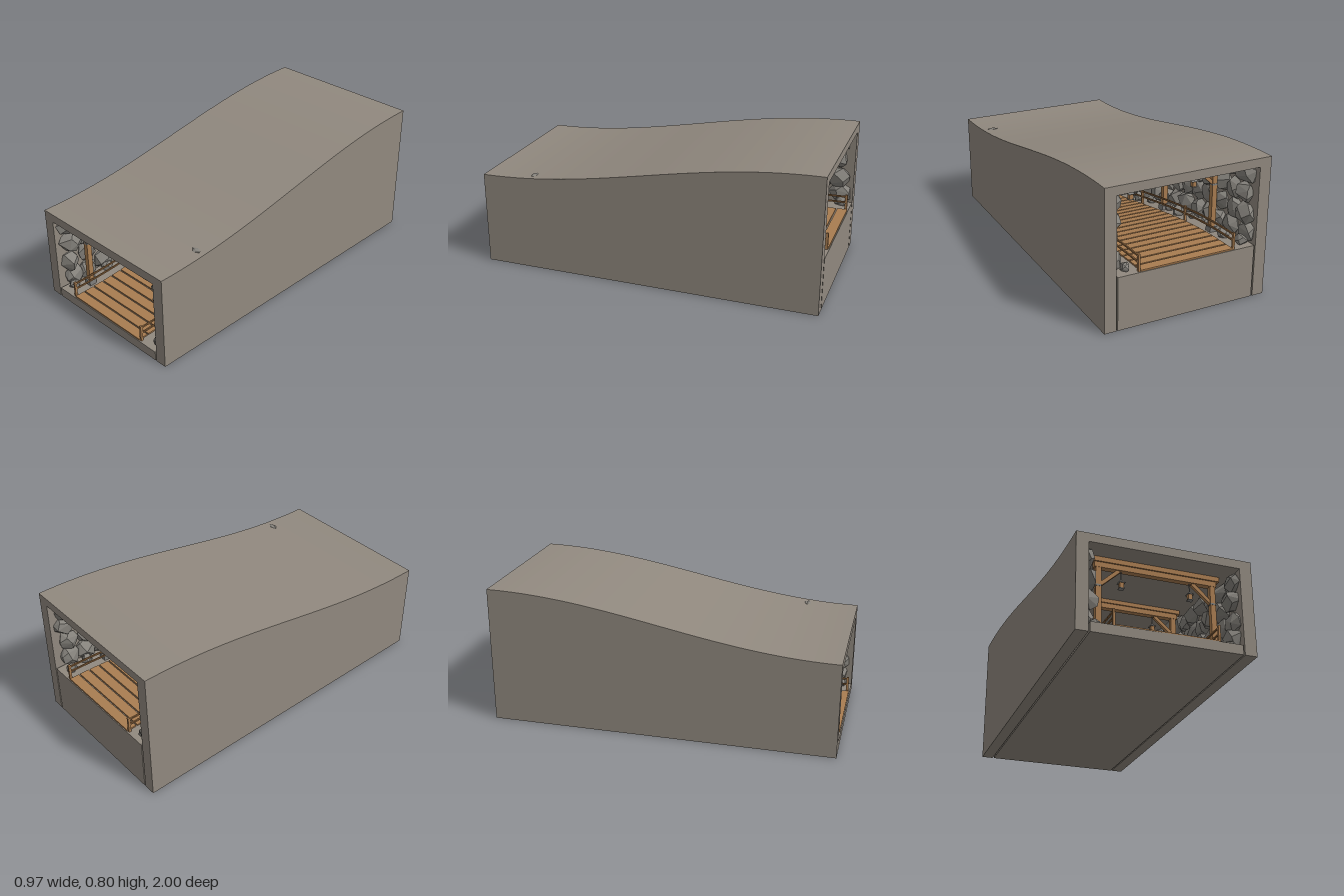
import * as THREE from 'three';
import { mergeGeometries } from 'three/addons/utils/BufferGeometryUtils.js';
import { ConvexGeometry } from 'three/addons/geometries/ConvexGeometry.js';

const mat = (name, color, flatShading = false) => {
  const m = new THREE.MeshStandardMaterial({ color, flatShading });
  m.name = name;
  return m;
};

// The whole passage climbs along this curve from front (z = 1) to back (z = -1)
const rise = z => 0.125 * (1 - Math.sin(z * Math.PI / 2));
const slope = z => -0.125 * Math.PI / 2 * Math.cos(z * Math.PI / 2);
const floorY = z => 0.055 + rise(z);

let seed = 7;
const rand = (a = 0, b = 1) => {
  seed = (seed * 16807) % 2147483647;
  return a + (b - a) * seed / 2147483647;
};

// Slab between two height curves, running the given length and spanning x0..x1
function slab(x0, x1, bottom, top, zEnd = 1) {
  const n = 40, pts = [];
  for (let i = 0; i <= n; i++) {
    const u = zEnd * (-1 + 2 * i / n);
    pts.push(new THREE.Vector2(u, bottom(-u)));
  }
  for (let i = n; i >= 0; i--) {
    const u = zEnd * (-1 + 2 * i / n);
    pts.push(new THREE.Vector2(u, top(-u)));
  }
  const g = new THREE.ExtrudeGeometry(new THREE.Shape(pts), { depth: x1 - x0, bevelEnabled: false });
  return g.rotateY(Math.PI / 2).translate(x0, 0, 0);
}

// Angular boulder: hull of jittered points around an ellipsoid
function rock(x, y, z, rx, ry, rz) {
  const pts = [], n = 15, spin = rand(0, 6.28);
  for (let i = 0; i < n; i++) {
    const h = 1 - 2 * (i + 0.5) / n, a = spin + i * 2.4 + rand(-0.4, 0.4);
    const k = rand(0.82, 1), r = Math.sqrt(1 - h * h);
    pts.push(new THREE.Vector3(x + rx * k * r * Math.cos(a), y + ry * k * h, z + rz * k * r * Math.sin(a)));
  }
  return new ConvexGeometry(pts);
}

export function createModel() {
  const stone = mat('stone', 0x91897f);
  const rockMat = mat('rock grey', 0x85827c, true);
  const wood = mat('wood', 0xa97d51);
  const darkWood = mat('rail wood', 0x8f673f);
  const metal = mat('metal', 0x807f7c);
  const model = new THREE.Group();
  const add = (parent, name, geo, material, x = 0, y = 0, z = 0) => {
    const m = new THREE.Mesh(geo, material);
    m.name = name;
    m.position.set(x, y, z);
    parent.add(m);
    return m;
  };
  const box = (w, h, d) => new THREE.BoxGeometry(w, h, d);

  // Shell: two side walls, roof and floor
  const roofTop = z => 0.55 + rise(z), ceiling = z => 0.5 + rise(z), ground = () => 0;
  add(model, 'rightWall', slab(-0.484, -0.416, ground, roofTop), stone);
  add(model, 'leftWall', slab(0.416, 0.484, ground, roofTop), stone);
  add(model, 'roof', slab(-0.416, 0.416, ceiling, roofTop), stone);
  add(model, 'floor', slab(-0.408, 0.408, ground, floorY), stone);

  // Rock lining on both walls, with rubble at the foot
  for (const side of [-1, 1]) {
    const rocks = [];
    for (let i = 0; i < 17; i++) {
      for (let j = 0; j < 4; j++) {
        const z = -0.91 + i * 0.114 + rand(-0.015, 0.015);
        const y = floorY(z) + 0.05 + j * 0.113 + rand(-0.012, 0.012);
        rocks.push(rock(side * 0.408, y, z, rand(0.045, 0.076), rand(0.065, 0.082), rand(0.065, 0.082)));
      }
      const z = -0.94 + i * 0.117, r = rand(0.022, 0.042);
      rocks.push(rock(side * rand(0.32, 0.37), floorY(z) + r * 0.5, z, r, r, r * 1.1));
    }
    add(model, side < 0 ? 'rightRocks' : 'leftRocks', mergeGeometries(rocks), rockMat);
  }
  // Loose chips breaking through the roof
  add(model, 'roofChip', rock(0.422, 0.556, 0.7, 0.038, 0.018, 0.028), rockMat);
  add(model, 'smallRoofChip', rock(0.414, 0.71, -0.26, 0.009, 0.016, 0.024), rockMat);

  // Plank deck
  const deck = new THREE.Group();
  deck.name = 'deck';
  model.add(deck);
  const plank = box(0.55, 0.009, 0.058), count = 30;
  for (let i = 0; i < count; i++) {
    const z = 0.966 - i * 1.932 / (count - 1);
    add(deck, 'plank', plank, wood, 0, floorY(z) + 0.004, z).rotation.x = -Math.atan(slope(z));
  }

  // Railings: posts with two rails following the slope
  for (const side of [-1, 1]) {
    const railing = new THREE.Group();
    railing.name = side < 0 ? 'rightRailing' : 'leftRailing';
    model.add(railing);
    const x = side * 0.283;
    for (const z of [0.985, 0.5, 0, -0.5, -0.985])
      add(railing, 'railPost', box(0.012, 0.097, 0.014), wood, x, floorY(z) + 0.0475, z);
    for (const h of [0.045, 0.08])
      add(railing, 'rail', slab(x - 0.004, x + 0.004, z => floorY(z) + h, z => floorY(z) + h + 0.009, 0.99), darkWood);
  }

  // Timber frames with braces and hanging lanterns
  for (const z of [0.85, 0.325, -0.2, -0.72]) {
    const frame = new THREE.Group();
    frame.name = 'timberFrame';
    frame.position.set(0, floorY(z), z);
    model.add(frame);
    add(frame, 'crossBeam', box(0.685, 0.03, 0.034), wood, 0, 0.402, 0);
    add(frame, 'topBeam', box(0.715, 0.028, 0.05), wood, 0, 0.431, 0);
    for (const s of [-1, 1]) {
      add(frame, 'post', box(0.03, 0.362, 0.03), wood, s * 0.32, 0.206, 0);
      add(frame, 'postFooting', box(0.046, 0.03, 0.046), metal, s * 0.32, 0.015, 0);
      add(frame, 'postBand', box(0.033, 0.01, 0.033), metal, s * 0.32, 0.282, 0);
      const brace = add(frame, 'brace', box(0.15, 0.02, 0.02), wood, s * 0.26, 0.337, 0);
      brace.rotation.z = -s * 0.75;

      // Lantern
      const lantern = new THREE.Group();
      lantern.name = 'lantern';
      lantern.position.set(s * 0.192, 0.287, 0);
      frame.add(lantern);
      add(lantern, 'lanternBase', box(0.029, 0.004, 0.029), metal, 0, 0.002, 0);
      add(lantern, 'lanternBody', box(0.023, 0.03, 0.023), wood, 0, 0.019, 0);
      add(lantern, 'lanternRoof', new THREE.ConeGeometry(0.027, 0.02, 4).rotateY(Math.PI / 4), metal, 0, 0.044, 0);
      add(lantern, 'hanger', box(0.004, 0.05, 0.004), metal, 0, 0.076, 0);
    }
  }
  return model;
}
